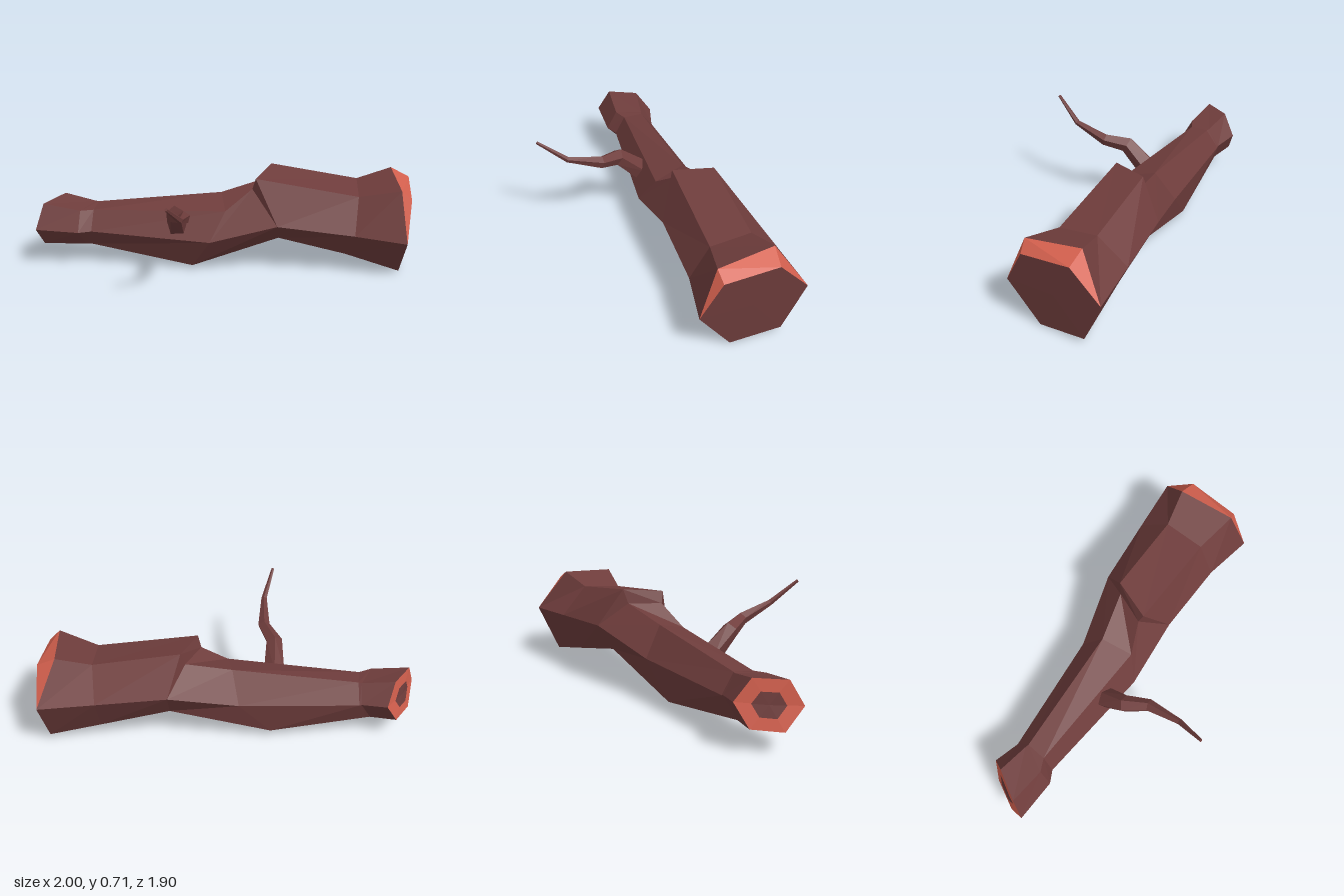
import * as THREE from 'three';

const bark = new THREE.MeshStandardMaterial({ color: 0x6f3d3c });
bark.name = 'bark brown';
const cut = new THREE.MeshStandardMaterial({ color: 0xd4604e });
cut.name = 'fresh cut wood';

const V = (p) => new THREE.Vector3(...p);

// Faceted mesh from a list of corner triples; empty triangles are dropped
function facets(name, tris, material) {
  const pos = [];
  for (const t of tris) {
    if (new THREE.Triangle(...t).getArea() > 1e-7) t.forEach((p) => pos.push(p.x, p.y, p.z));
  }
  const geo = new THREE.BufferGeometry();
  geo.setAttribute('position', new THREE.Float32BufferAttribute(pos, 3));
  geo.computeVertexNormals();
  const mesh = new THREE.Mesh(geo, material);
  mesh.name = name;
  return mesh;
}

// Skin between successive rings (each ring clockwise seen from the far end)
function loft(rings) {
  const tris = [];
  for (let i = 0; i < rings.length - 1; i++) {
    const r = rings[i], s = rings[i + 1], n = r.length;
    for (let k = 0; k < n; k++) {
      const m = (k + 1) % n;
      tris.push([r[k], s[k], s[m]], [r[k], s[m], r[m]]);
    }
  }
  return tris;
}

const middle = (ring) =>
  ring.reduce((s, p) => s.add(p), new THREE.Vector3()).divideScalar(ring.length);

// Fan that closes a ring
function fan(ring, atFront) {
  const c = middle(ring);
  return ring.map((p, k) => {
    const q = ring[(k + 1) % ring.length];
    return atFront ? [c, q, p] : [c, p, q];
  });
}

export function createModel() {
  const group = new THREE.Group();
  group.name = 'fallenLog';

  // Six-sided trunk sections, thin back end to thick front end:
  // top left, top right, right, lower right, lower left, left
  const back = [[-.915, .43, -.87], [-.715, .44, -.91], [-.62, .305, -.94],
    [-.715, .16, -.955], [-.905, .14, -.91], [-1, .28, -.85]].map(V);
  const neck = [[-.77, .395, -.68], [-.6, .4, -.74], [-.545, .285, -.795],
    [-.63, .15, -.81], [-.72, .14, -.71], [-.825, .27, -.64]].map(V);
  const neckFront = [[-.69, .39, -.645], [-.59, .4, -.72], [-.535, .28, -.785],
    [-.61, .145, -.79], [-.69, .14, -.68], [-.745, .265, -.61]].map(V);
  const bend = [[-.16, .42, .02], [-.04, .475, -.14], [.02, .285, -.26],
    [-.15, .06, -.385], [-.29, .03, -.155], [-.29, .24, .01]].map(V);
  const hump = [[0, .625, .13], [.24, .645, .035], [.4, .405, -.01],
    [.32, .23, .06], [.16, .19, .18], [.01, .35, .31]].map(V);
  // Foot of the bark step just behind the hump
  const step = [V([0, .55, .1]), V([.205, .555, .03]), ...hump.slice(2)];
  const thick = [[.43, .52, .61], [.62, .55, .435], [.735, .375, .29],
    [.64, .12, .37], [.43, .1, .52], [.33, .3, .675]].map(V);
  const front = [[.56, .585, .84], [.8, .615, .57], [1, .35, .53],
    [.88, .04, .6], [.635, .005, .8], [.5, .28, .95]].map(V);
  // Front face, chipped along its top edge
  const face = [V([.615, .52, .88]), V([.87, .557, .665]), ...front.slice(2)];

  group.add(
    facets('trunk', loft([back, neck, neckFront, bend, step, hump, thick, front]), bark),
    facets('chippedEdge', loft([front, face]), cut),
    facets('frontEnd', fan(face, true), bark),
    facets('backEnd', fan(back, false), cut),
  );

  // Dark core on the back end
  const c = middle(back);
  const out = new THREE.Vector3(-.1, -.05, -.6).setLength(0.005);
  const core = back.map((p) => p.clone().lerp(c, 0.5).add(out));
  group.add(facets('backCore', fan(core, false), bark));

  // Side branch: position and radius along its path
  const path = [[-.37, .32, -.2, .07], [-.48, .46, -.09, .055], [-.53, .495, .05, .04],
    [-.69, .57, .2, .019], [-.855, .705, .277, .01]];
  const centres = path.map((p) => V(p.slice(0, 3)));
  const sides = 5;
  const rings = path.map((p, i) => {
    const t = centres[Math.min(i + 1, path.length - 1)].clone()
      .sub(centres[Math.max(i - 1, 0)]).normalize();
    const up = new THREE.Vector3(0, 1, 0).addScaledVector(t, -t.y).normalize();
    const side = up.clone().cross(t);
    return Array.from({ length: sides }, (_, k) => {
      const a = (k / sides) * Math.PI * 2;
      return centres[i].clone()
        .addScaledVector(up, Math.cos(a) * p[3])
        .addScaledVector(side, Math.sin(a) * p[3]);
    });
  });
  group.add(facets('branch', [...loft(rings), ...fan(rings[rings.length - 1], true)], bark));

  return group;
}
